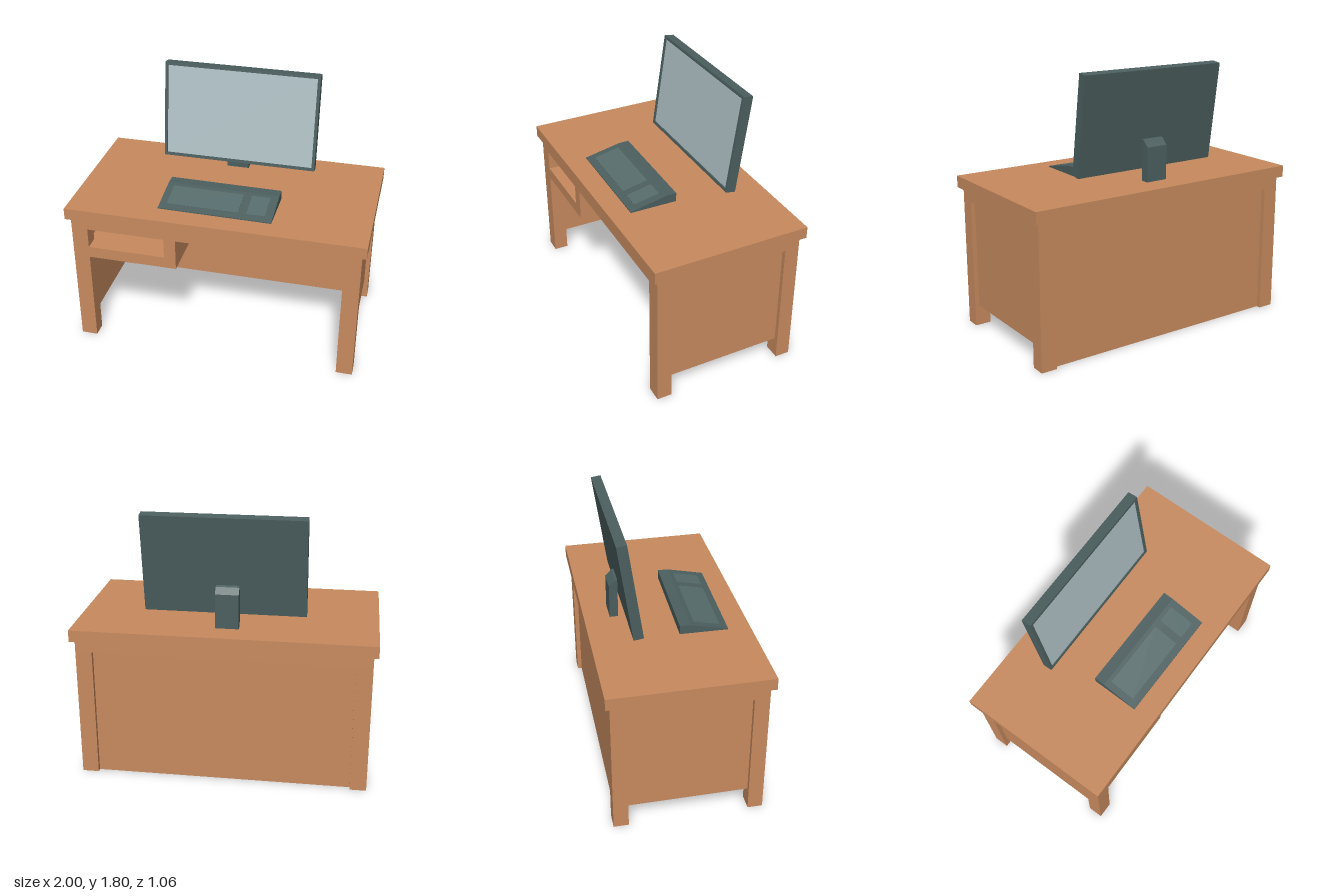
import * as THREE from 'three';

const mat = (color) => new THREE.MeshStandardMaterial({ color, flatShading: true });

export function createModel() {
  const wood = mat(0xc88b5f), dark = mat(0x4c5f5f), keyMat = mat(0x566c6b), glass = mat(0xafc1c5);
  const model = new THREE.Group();

  const add = (parent, name, geometry, material) => {
    const mesh = new THREE.Mesh(geometry, material);
    mesh.name = name;
    parent.add(mesh);
    return mesh;
  };
  // Box given by its minimum and maximum corners
  const box = (parent, name, [x0, y0, z0], [x1, y1, z1], material) => {
    const mesh = add(parent, name, new THREE.BoxGeometry(x1 - x0, y1 - y0, z1 - z0), material);
    mesh.position.set((x0 + x1) / 2, (y0 + y1) / 2, (z0 + z1) / 2);
    return mesh;
  };
  const vectors = (points) => points.map(([x, y]) => new THREE.Vector2(x, y));
  // Side profile of [z, y] points extruded across x, centred
  const sideProfile = (points, width) => {
    const shape = new THREE.Shape(vectors(points.map(([z, y]) => [-z, y])));
    return new THREE.ExtrudeGeometry(shape, { depth: width, bevelEnabled: false })
      .translate(0, 0, -width / 2).rotateY(Math.PI / 2);
  };

  // Desk
  const desk = new THREE.Group();
  desk.name = 'desk';
  model.add(desk);
  box(desk, 'deskTop', [-1, 0.97, -0.53], [1, 1.05, 0.53], wood);
  box(desk, 'apron', [-0.97, 0.89, -0.5], [0.97, 0.97, 0.4], wood);

  // Front frame: both front legs, apron and the open shelf surround in one piece
  const front = new THREE.Shape(vectors([
    [-0.97, 0], [-0.86, 0], [-0.86, 0.67], [-0.25, 0.67], [-0.25, 0.89],
    [0.86, 0.89], [0.86, 0], [0.97, 0], [0.97, 0.97], [-0.97, 0.97],
  ]));
  front.holes.push(new THREE.Path(vectors([
    [-0.86, 0.75], [-0.86, 0.89], [-0.33, 0.89], [-0.33, 0.75],
  ])));
  add(desk, 'frontFrame', new THREE.ExtrudeGeometry(front, { depth: 0.1, bevelEnabled: false }), wood)
    .position.z = 0.4;

  // Back legs and recessed side panels
  for (const s of [-1, 1]) {
    const side = s < 0 ? 'right' : 'left';
    box(desk, side + 'BackLeg', [s * 0.915 - 0.055, 0, -0.5], [s * 0.915 + 0.055, 0.89, -0.4], wood);
    box(desk, side + 'SidePanel', [s * 0.915 - 0.025, 0.14, -0.4], [s * 0.915 + 0.025, 0.89, 0.4], wood);
  }
  box(desk, 'backPanel', [-0.86, 0, -0.47], [0.86, 0.89, -0.43], wood);

  // Open shelf under the top
  box(desk, 'shelfFloor', [-0.89, 0.67, -0.43], [-0.25, 0.75, 0.4], wood);
  box(desk, 'shelfWall', [-0.33, 0.75, -0.43], [-0.25, 0.89, 0.4], wood);

  // Monitor, leaning back
  const monitor = new THREE.Group();
  monitor.name = 'monitor';
  monitor.position.set(0.008, 1.4625, -0.286);
  monitor.rotation.x = -0.143;
  model.add(monitor);
  const W = 0.535, H = 0.335, B = 0.02;
  box(monitor, 'monitorBack', [-W, -H, -0.0335], [W, H, 0.022], dark);
  const bezel = new THREE.Shape(vectors([[-W, -H], [W, -H], [W, H], [-W, H]]));
  bezel.holes.push(new THREE.Path(vectors([
    [-W + B, -H + B], [-W + B, H - B], [W - B, H - B], [W - B, -H + B],
  ])));
  add(monitor, 'bezel', new THREE.ExtrudeGeometry(bezel, { depth: 0.0115, bevelEnabled: false }), dark)
    .position.z = 0.022;
  box(monitor, 'screen', [-W + B, -H + B, 0.02], [W - B, H - B, 0.025], glass);

  // Monitor stand with a chamfered top
  add(model, 'monitorStand', sideProfile([
    [-0.3, 1.05], [-0.3, 1.33], [-0.318, 1.322], [-0.357, 1.283], [-0.357, 1.05],
  ], 0.155), dark).position.x = -0.015;

  // Wedge keyboard, turned slightly
  const keyboard = new THREE.Group();
  keyboard.name = 'keyboard';
  keyboard.position.set(-0.015, 1.05, 0.222);
  keyboard.rotation.y = -0.014;
  model.add(keyboard);
  add(keyboard, 'keyboardBody', sideProfile([
    [0.162, 0], [0.162, 0.006], [-0.09, 0.06], [-0.162, 0.062], [-0.162, 0],
  ], 0.765), dark);

  // Key areas lying on the slope
  const slope = Math.atan2(0.054, 0.252);
  for (const [name, x, width] of [['mainKeys', -0.093, 0.485], ['numberKeys', 0.267, 0.125]]) {
    const keys = add(keyboard, name, new THREE.BoxGeometry(width, 0.004, 0.18), keyMat);
    keys.position.set(x, 0.006 + (0.162 - 0.025) * Math.tan(slope), 0.025);
    keys.rotation.x = slope;
  }

  return model;
}
